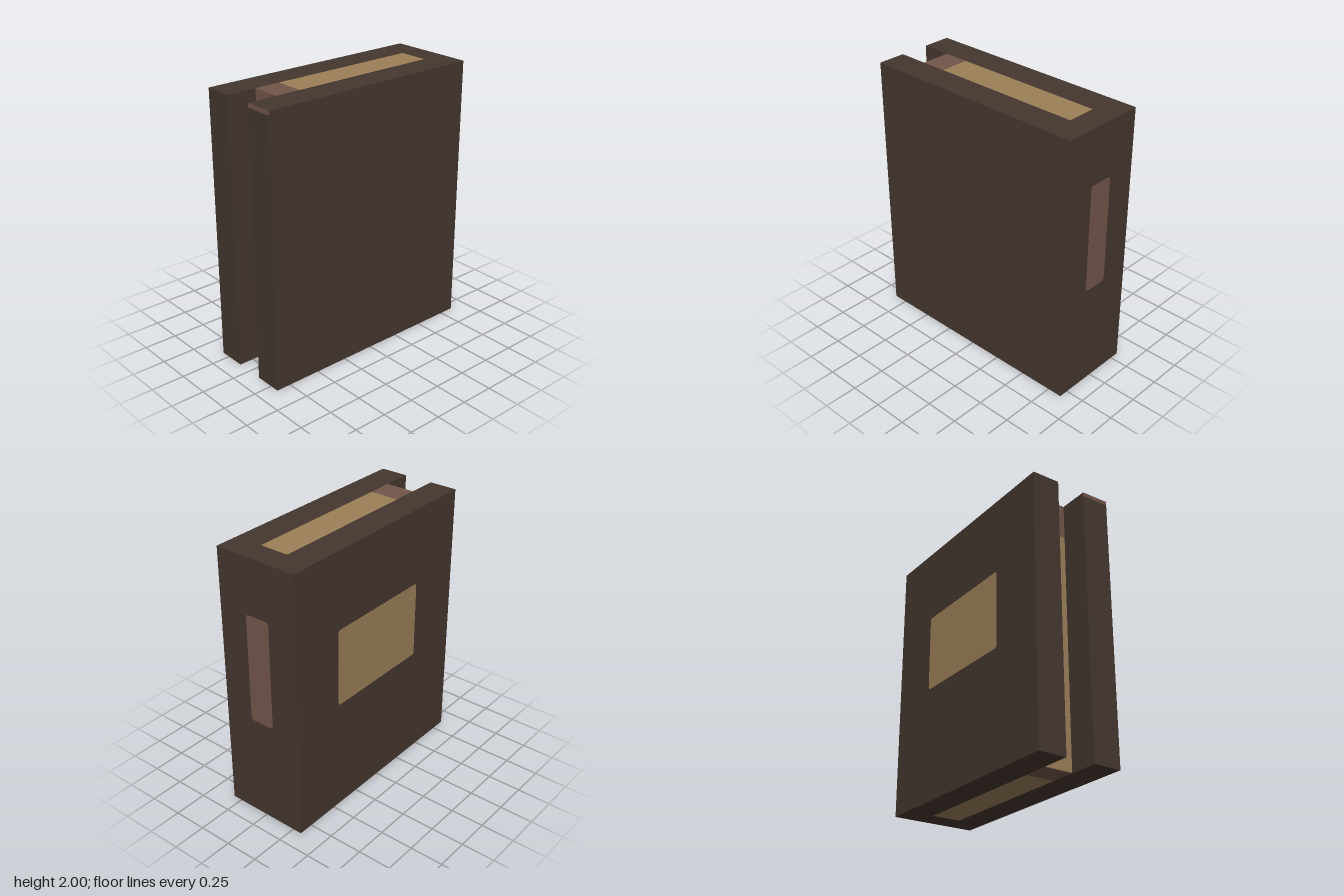
import * as THREE from 'three';

const material = (name, color) => {
  const m = new THREE.MeshStandardMaterial({ color });
  m.name = name;
  return m;
};

export function createModel() {
  const book = new THREE.Group();
  book.name = 'book';
  const leather = material('dark leather', 0x45372f);
  const paper = material('aged paper', 0x9c7f58);
  const trim = material('red brown trim', 0x72554a);

  const add = (name, geometry, mat) => {
    const mesh = new THREE.Mesh(geometry, mat);
    mesh.name = name;
    book.add(mesh);
    return mesh;
  };

  // Box given by its lower and upper limits on each axis
  const box = (name, mat, [x0, x1], [y0, y1], [z0, z1]) =>
    add(name, new THREE.BoxGeometry(x1 - x0, y1 - y0, z1 - z0), mat)
      .position.set((x0 + x1) / 2, (y0 + y1) / 2, (z0 + z1) / 2);

  // Thin plate with slightly rounded corners, facing +z before it is turned
  const plate = (name, mat, w, h, r) => {
    const x = w / 2, y = h / 2;
    const s = new THREE.Shape();
    s.moveTo(-x + r, -y);
    s.lineTo(x - r, -y).quadraticCurveTo(x, -y, x, -y + r);
    s.lineTo(x, y - r).quadraticCurveTo(x, y, x - r, y);
    s.lineTo(-x + r, y).quadraticCurveTo(-x, y, -x, y - r);
    s.lineTo(-x, -y + r).quadraticCurveTo(-x, -y, -x + r, -y);
    const g = new THREE.ExtrudeGeometry(s, { depth: 0.003, bevelEnabled: false, curveSegments: 3 });
    return add(name, g, mat);
  };

  // Spine and the two thick covers
  const full = [0, 2];
  box('spine', leather, [-0.32, 0.32], full, [-0.86, -0.68]);
  box('leftCover', leather, [0.11, 0.32], full, [-0.68, 0.86]);
  box('rightCover', leather, [-0.32, -0.11], full, [-0.68, 0.86]);

  // Page block, set back from the front edge of the covers
  const inner = [-0.11, 0.11];
  box('pages', paper, inner, full, [-0.68, 0.45]);
  box('pageEdge', paper, inner, [0.005, 1.74], [0.45, 0.64]);
  box('topBand', trim, inner, [1.74, 2], [0.45, 0.64]);
  box('bottomBand', trim, inner, [0, 0.005], [0.45, 0.64]);

  // Worn strip on the top front edge of the left cover
  plate('coverEdgeStrip', trim, 0.21, 0.03, 0.01).position.set(0.215, 1.985, 0.859);

  // Label on the spine
  const spineLabel = plate('spineLabel', trim, 0.19, 0.81, 0.025);
  spineLabel.rotation.y = Math.PI;
  spineLabel.position.set(0, 1.185, -0.859);

  // Title panel on the right cover
  const panel = plate('coverPanel', paper, 0.865, 0.58, 0.02);
  panel.rotation.y = -Math.PI / 2;
  panel.position.set(-0.319, 1.14, -0.012);

  return book;
}
